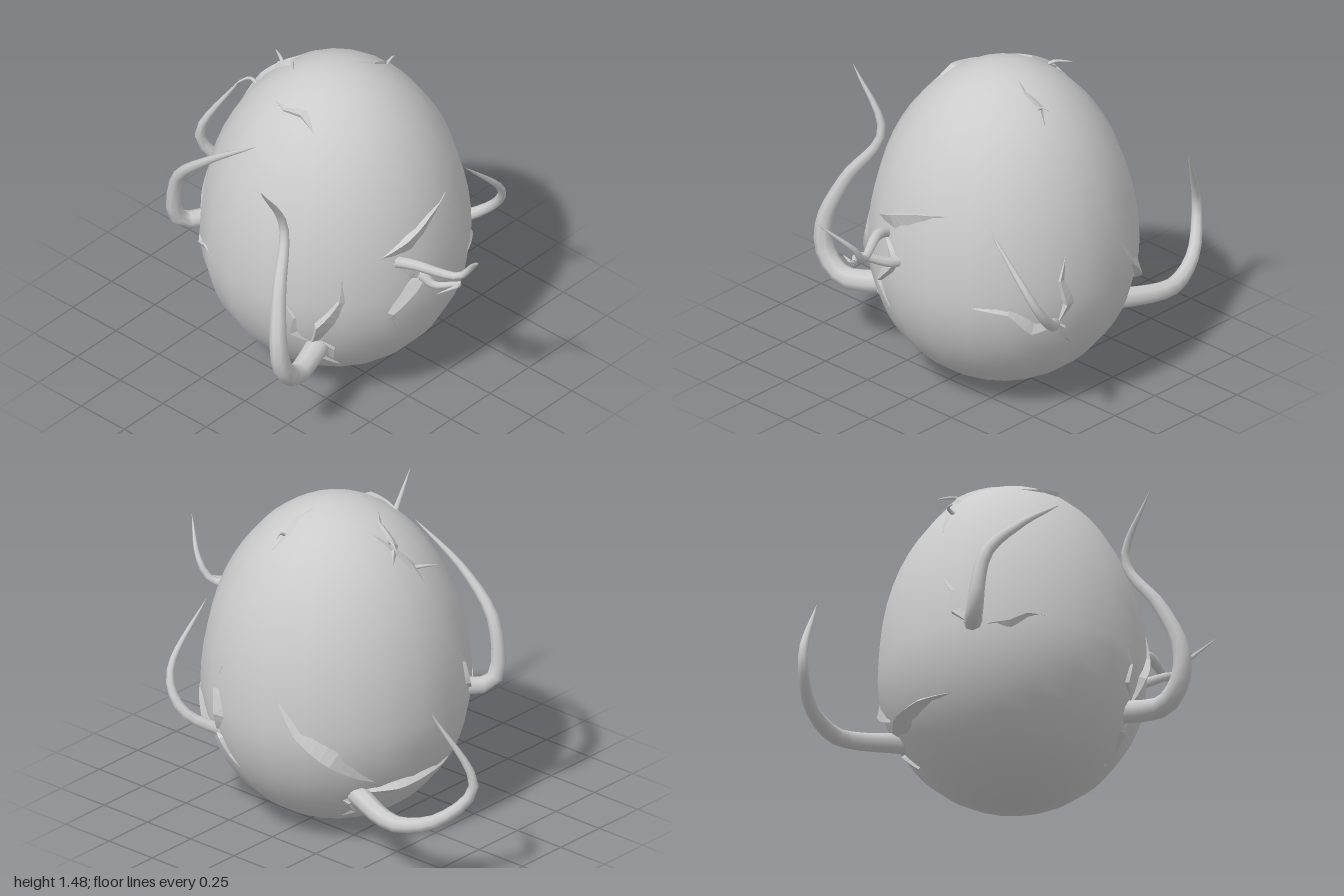
import * as THREE from 'three';

const CX = 0.085, MID = 0.62, R = 0.585, LOW = 0.615, HIGH = 0.86;
const smooth = new THREE.MeshStandardMaterial({ color: 0xcccccc });
const shard = new THREE.MeshStandardMaterial({ color: 0xcccccc, flatShading: true, side: THREE.DoubleSide });

// Point on the egg seen along one axis ('x', 'y' or 'z'), on its + or - side.
// a and b are the two other coordinates, in x, y, z order.
function onEgg(axis, sign, a, b) {
  if (axis === 'y') {
    const k = ((a - CX) / R) ** 2 + (b / R) ** 2;
    return new THREE.Vector3(a, MID + HIGH * Math.sqrt(Math.max(0, 1 - k)), b);
  }
  const y = axis === 'x' ? a : b;
  const h = y > MID ? HIGH : LOW;
  const u = axis === 'x' ? b : a - CX;
  const d = sign * R * Math.sqrt(Math.max(0, 1 - ((y - MID) / h) ** 2 - (u / R) ** 2));
  return axis === 'x' ? new THREE.Vector3(CX + d, y, b) : new THREE.Vector3(a, y, d);
}

function eggNormal(p) {
  const h = p.y > MID ? HIGH : LOW;
  return new THREE.Vector3((p.x - CX) / R ** 2, (p.y - MID) / h ** 2, p.z / R ** 2).normalize();
}

// Egg shell: a sphere stretched more above its widest line than below
function eggGeometry() {
  const geo = new THREE.SphereGeometry(1, 20, 28).rotateY(Math.PI / 20);
  const pos = geo.attributes.position, nor = geo.attributes.normal;
  for (let i = 0; i < pos.count; i++) {
    const y = pos.getY(i);
    const p = new THREE.Vector3(CX + pos.getX(i) * 0.588, MID + y * (y > 0 ? HIGH : LOW), pos.getZ(i) * 0.588);
    const n = eggNormal(p);
    pos.setXYZ(i, p.x, p.y, p.z);
    nor.setXYZ(i, n.x, n.y, n.z);
  }
  return geo;
}

// Tapered tendril: a tube whose rings shrink towards the tip
function tendrilGeometry(radius, points) {
  const curve = new THREE.CatmullRomCurve3(points.map(p => new THREE.Vector3(...p)));
  const rings = points.length * 3, sides = 8;
  const geo = new THREE.TubeGeometry(curve, rings, radius, sides, false);
  const pos = geo.attributes.position, v = new THREE.Vector3();
  for (let i = 0; i <= rings; i++) {
    const c = curve.getPointAt(i / rings);
    const s = Math.max(0.02, Math.pow(1 - i / rings, 0.7));
    for (let j = 0; j <= sides; j++) {
      const n = i * (sides + 1) + j;
      v.fromBufferAttribute(pos, n).sub(c).multiplyScalar(s).add(c);
      pos.setXYZ(n, v.x, v.y, v.z);
    }
  }
  return geo;
}

// Jagged crack: a ridged sliver hugging the egg from one point to another,
// bent sideways by jag one way and then back, pointed at both ends
function crackGeometry(axis, sign, a0, b0, a1, b1, jag) {
  const STEPS = 12, da = a1 - a0, db = b1 - b0, length = Math.hypot(da, db);
  const spine = [], pos = [], index = [];
  for (let i = 0; i <= STEPS; i++) {
    const t = i / STEPS;
    const bend = jag / length * (t < 1 / 3 ? 3 * t : t < 2 / 3 ? 2.5 - 4.5 * t : 1.5 * t - 1.5);
    spine.push(onEgg(axis, sign, a0 + da * t - db * bend, b0 + db * t + da * bend));
  }
  spine.forEach((p, i) => {
    const t = i / STEPS, n = eggNormal(p);
    const w = 0.085 * length * Math.min(t / 0.35, (1 - t) / 0.65);
    const along = spine[Math.min(i + 1, STEPS)].clone().sub(spine[Math.max(i - 1, 0)]);
    const side = n.clone().cross(along).normalize();
    for (const [s, lift] of [[-1, -0.003], [0.7, w * 0.8], [1, -0.003]])
      pos.push(...p.clone().addScaledVector(side, s * w).addScaledVector(n, lift).toArray());
    if (i > 0) {
      const q = i * 3;
      for (const j of [0, 1]) index.push(q - 3 + j, q - 2 + j, q + j, q - 2 + j, q + 1 + j, q + j);
    }
  });
  const geo = new THREE.BufferGeometry();
  geo.setAttribute('position', new THREE.Float32BufferAttribute(pos, 3));
  geo.setIndex(index);
  geo.computeVertexNormals();
  return geo;
}

export function createModel() {
  const model = new THREE.Group();
  const add = (name, geo, mat) => {
    const mesh = new THREE.Mesh(geo, mat);
    mesh.name = name;
    model.add(mesh);
  };
  const tendril = (name, radius, ...points) => add(name, tendrilGeometry(radius, points), smooth);
  const crack = (name, ...path) => add(name, crackGeometry(...path), shard);

  add('eggShell', eggGeometry(), smooth);

  // Large tendrils curling out of the sides and back
  tendril('rightTendril', 0.055, [-0.3, 0.38, 0.27], [-0.43, 0.35, 0.31], [-0.55, 0.345, 0.34], [-0.64, 0.43, 0.35],
    [-0.66, 0.57, 0.34], [-0.59, 0.78, 0.28], [-0.46, 1.02, 0.19], [-0.62, 1.3, 0.2]);
  tendril('leftTendril', 0.03, [0.57, 0.47, 0.19], [0.68, 0.55, 0.33], [0.69, 0.64, 0.41],
    [0.65, 0.74, 0.45], [0.42, 0.98, 0.45]);
  tendril('backLeftTendril', 0.048, [0.37, 0.29, -0.37], [0.45, 0.27, -0.6], [0.45, 0.27, -0.7],
    [0.39, 0.33, -0.87], [0.3, 0.49, -0.985], [0.4, 0.83, -0.83]);
  tendril('backRightTendril', 0.043, [-0.18, 0.62, -0.43], [-0.33, 0.63, -0.535], [-0.37, 0.88, -0.51],
    [-0.38, 1.07, -0.33], [-0.34, 1.25, -0.08]);

  // Twin tendrils twisting out of the front
  tendril('upperFrontTendril', 0.028, [-0.1, 0.79, 0.5], [-0.09, 0.82, 0.6], [0, 0.8, 0.79],
    [0.01, 0.88, 0.86], [-0.09, 1.02, 0.99]);
  tendril('lowerFrontTendril', 0.028, [0.01, 0.71, 0.52], [-0.01, 0.71, 0.6], [-0.08, 0.77, 0.74],
    [-0.02, 0.79, 0.83], [-0.13, 0.77, 0.78]);

  // Little sprouts near the top
  tendril('topLeftSprout', 0.011, [0.32, 1.35, 0.05], [0.38, 1.4, 0.06], [0.42, 1.385, 0.05]);
  tendril('topBackSprout', 0.012, [0.06, 1.33, -0.27], [0.08, 1.37, -0.31], [0.13, 1.36, -0.39]);
  tendril('backSprout', 0.012, [0, 1.23, -0.36], [0, 1.26, -0.42], [-0.07, 1.25, -0.45]);

  // Cracks around the root of each tendril
  crack('frontCrack', 'z', 1, -0.19, 0.84, 0.23, 0.985, -0.01);
  crack('frontCrack', 'z', 1, -0.13, 0.82, -0.09, 0.43, 0.1);
  crack('rightCrack', 'z', 1, -0.38, 0.36, -0.32, 0.8, 0.02);
  crack('rightCrack', 'z', 1, -0.37, 0.42, -0.25, 0.23, 0.01);
  crack('rightCrack', 'x', -1, 0.34, 0.31, 0.17, 0.29, 0.02);
  crack('rightCrack', 'x', -1, 0.4, 0.28, 0.61, 0.2, -0.03);
  crack('leftCrack', 'x', 1, 0.49, 0.2, 0.59, 0.52, 0.04);
  crack('leftCrack', 'x', 1, 0.48, 0.22, 0.81, 0.18, -0.03);
  crack('leftCrack', 'x', 1, 0.51, 0.25, 0.34, 0.1, 0.01);
  crack('backLeftCrack', 'x', 1, 0.36, -0.46, 0.76, -0.15, -0.02);
  crack('backLeftCrack', 'x', 1, 0.29, -0.42, 0.13, -0.25, -0.03);
  crack('backLeftCrack', 'z', -1, 0.42, 0.31, -0.1, 0.33, 0.01);
  crack('backRightCrack', 'z', -1, -0.25, 0.6, -0.1, 0.87, -0.02);
  crack('backRightCrack', 'x', -1, 0.6, -0.44, 0.64, -0.24, 0.02);

  // Smaller cracks over the top
  crack('topCrack', 'y', 1, -0.2, 0.13, -0.16, -0.14, 0.02);
  crack('topCrack', 'y', 1, -0.01, -0.46, 0.13, -0.23, 0.01);
  crack('topCrack', 'y', 1, 0.13, -0.37, -0.02, -0.15, 0.03);
  crack('topCrack', 'y', 1, 0.41, 0.08, 0.2, 0.03, 0.02);
  return model;
}
